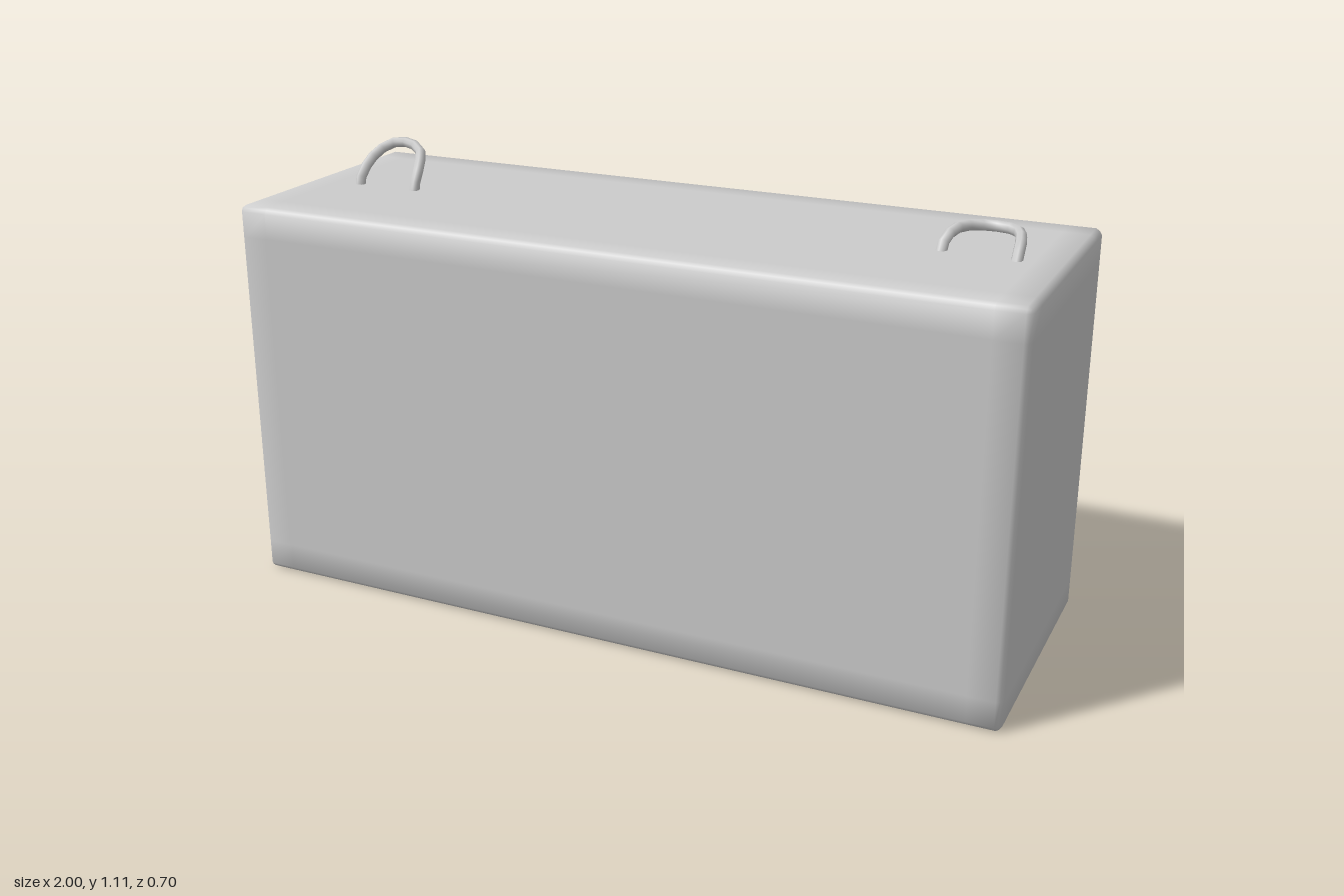
import * as THREE from 'three';

const material = new THREE.MeshStandardMaterial({ color: 0xcccccc });

// Chamfered box whose smooth normals fade into flat faces at an inner loop.
function chamferedBox(size, bevel, fade) {
  const geo = new THREE.BoxGeometry(1, 1, 1, 5, 5, 5);
  const pos = geo.attributes.position;
  const nor = geo.attributes.normal;
  const inset = [0, bevel, fade];
  const tilt = [1, 0.41, 0];
  for (let i = 0; i < pos.count; i++) {
    const steps = [0, 1, 2].map((a) => Math.round((pos.getComponent(i, a) + 0.5) * 5));
    const rings = steps.map((s) => Math.min(s, 5 - s));
    const outer = rings.filter((r) => r === 0).length;
    const cut = [0, 0, 0.4, 0.5][outer] * bevel; // pull edges and corners inwards
    const n = new THREE.Vector3();
    for (let a = 0; a < 3; a++) {
      const side = steps[a] < 3 ? -1 : 1;
      const d = rings[a] === 0 ? cut : inset[rings[a]];
      pos.setComponent(i, a, side * (size[a] / 2 - d));
      n.setComponent(a, side * tilt[rings[a]]);
    }
    n.normalize();
    nor.setXYZ(i, n.x, n.y, n.z);
  }
  return geo;
}

// Bent wire loop whose feet sink into the top of the block.
function liftingLoop(points) {
  const path = new THREE.CatmullRomCurve3(points.map((p) => new THREE.Vector3(...p)));
  return new THREE.TubeGeometry(path, 12, 0.0135, 7, false);
}

export function createModel() {
  const group = new THREE.Group();
  const add = (name, geometry) => {
    const mesh = new THREE.Mesh(geometry, material);
    mesh.name = name;
    group.add(mesh);
    return mesh;
  };

  // Solid block
  add('block', chamferedBox([2, 1, 0.7], 0.015, 0.08)).position.y = 0.5;

  // Raised loop on the model's right
  add('rightLoop', liftingLoop([
    [-0.855, 0.985, 0.03], [-0.853, 1.02, 0.023], [-0.845, 1.065, -0.025],
    [-0.815, 1.093, -0.064], [-0.77, 1.098, -0.072], [-0.72, 1.085, -0.055],
    [-0.698, 1.055, -0.015], [-0.69, 1.02, 0.02], [-0.69, 0.985, 0.03],
  ]));

  // Folded loop on the model's left, turned slightly
  add('leftLoop', liftingLoop([
    [0.705, 0.985, 0.01], [0.707, 1.015, -0.003], [0.717, 1.036, -0.05],
    [0.742, 1.038, -0.1], [0.79, 1.036, -0.122], [0.845, 1.037, -0.105],
    [0.872, 1.036, -0.055], [0.882, 1.02, 0.002], [0.882, 0.985, 0.025],
  ]));

  return group;
}
